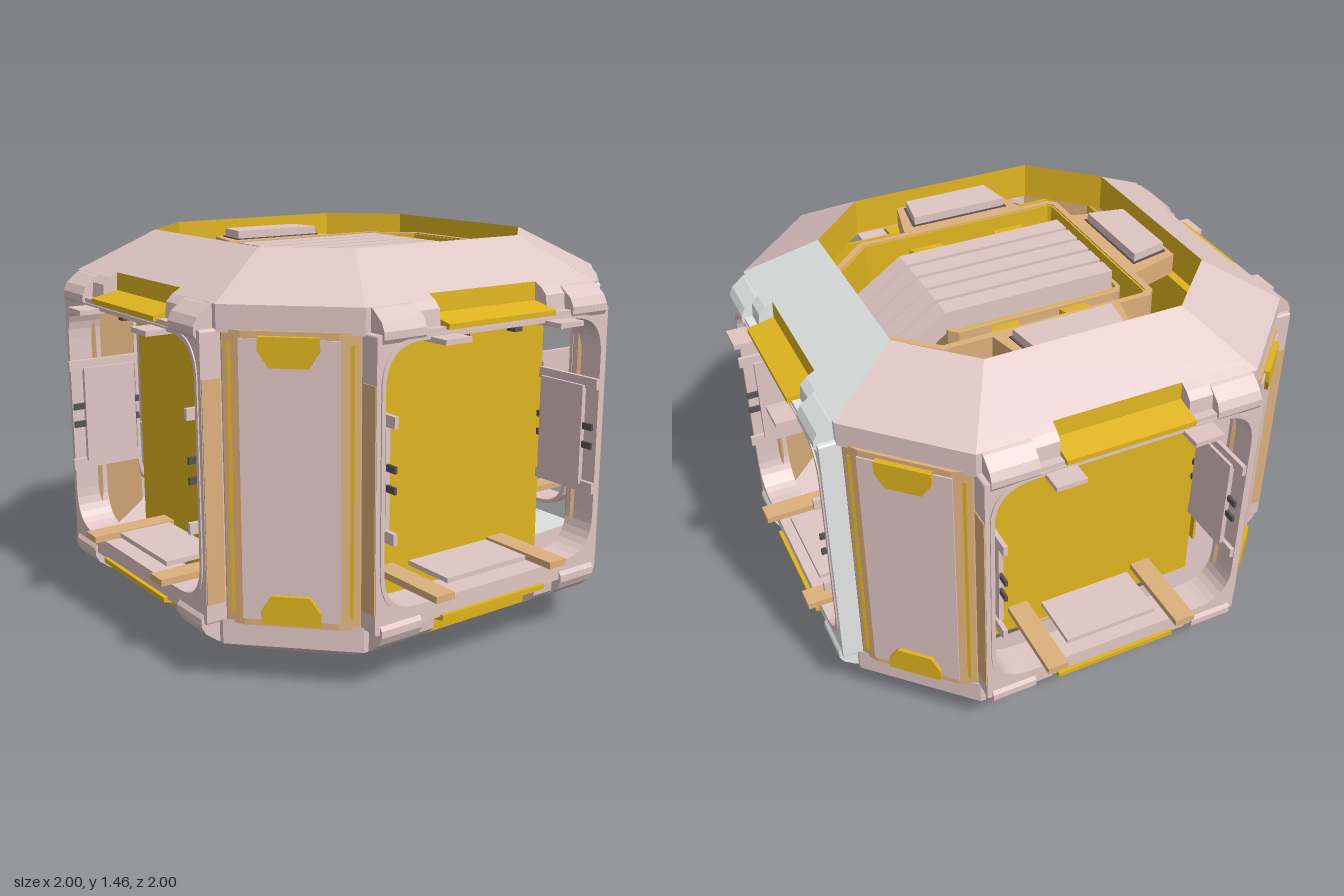
import * as THREE from 'three';

const mat = (name, color) => {
  const m = new THREE.MeshStandardMaterial({ color, side: THREE.DoubleSide });
  m.name = name;
  return m;
};
const H = 1.46;

export function createModel() {
  const pink = mat('dusty pink', 0xdfc6c4);
  const grey = mat('pale grey', 0xe2e6e4);
  const tan = mat('tan', 0xdcb07c);
  const gold = mat('gold', 0xdfb41f);
  const dark = mat('dark grey', 0x5a5355);
  const model = new THREE.Group();
  model.name = 'capsule';

  const add = (parent, name, geo, material) => {
    const mesh = new THREE.Mesh(geo, material);
    mesh.name = name;
    parent.add(mesh);
    return mesh;
  };
  const box = (parent, name, material, x0, x1, y0, y1, z0, z1) =>
    add(parent, name, new THREE.BoxGeometry(x1 - x0, y1 - y0, z1 - z0), material)
      .position.set((x0 + x1) / 2, (y0 + y1) / 2, (z0 + z1) / 2);
  const poly = (pts) => new THREE.Shape(pts.map(([x, y]) => new THREE.Vector2(x, y)));
  const extrude = (shape, depth, z) =>
    new THREE.ExtrudeGeometry(shape, { depth, bevelEnabled: false, curveSegments: 8 }).translate(0, 0, z);
  // horizontal slab from [x, z] points
  const slab = (pts, y0, y1, hole) => {
    const s = poly(pts.map(([x, z]) => [x, -z]));
    if (hole) s.holes.push(poly(hole.map(([x, z]) => [x, -z])));
    return extrude(s, y1 - y0, 0).rotateX(-Math.PI / 2).translate(0, y0, 0);
  };
  // block from a [z, y] side profile, centred on x
  const sideBlock = (pts, width, x) =>
    extrude(poly(pts.map(([z, y]) => [-z, y])), width, -width / 2).rotateY(Math.PI / 2).translate(x, 0, 0);
  // mirrors half an outline (z >= 0) across z = 0
  const mirrorZ = (half) => [...half, ...half.slice().reverse().map(([x, z]) => [x, -z])];
  const roundRect = (w, y0, y1, r) => {
    const s = new THREE.Shape();
    s.moveTo(-w + r, y0);
    s.lineTo(w - r, y0); s.quadraticCurveTo(w, y0, w, y0 + r);
    s.lineTo(w, y1 - r); s.quadraticCurveTo(w, y1, w - r, y1);
    s.lineTo(-w + r, y1); s.quadraticCurveTo(-w, y1, -w, y1 - r);
    s.lineTo(-w, y0 + r); s.quadraticCurveTo(-w, y0, -w + r, y0);
    return s;
  };
  // one sector of the octagonal ring; points are [distance, right x, y, left x]
  const sector = (profile, diagonal) => {
    const pos = [];
    const L = ([c, h, y, l = -h]) => (diagonal ? [h, y, c] : [l, y, c]);
    const R = ([c, h, y]) => (diagonal ? [c, y, h] : [h, y, c]);
    for (let i = 0; i + 1 < profile.length; i++) {
      const p = profile[i], q = profile[i + 1];
      pos.push(...L(p), ...L(q), ...R(q), ...L(p), ...R(q), ...R(p));
    }
    const g = new THREE.BufferGeometry();
    g.setAttribute('position', new THREE.Float32BufferAttribute(pos, 3));
    g.computeVertexNormals();
    return g;
  };

  // upper and lower caps: sloping ring, grip recesses and central hub
  function cap() {
    const g = new THREE.Group();
    const inLow = [0.6, 0.37, 1.32], inTop = [0.6, 0.37, H];
    const outTop = [0.86, 0.52, 1.31], outLow = [0.86, 0.52, 1.22];
    const lip = [0.83, 0.503, 1.327];
    const n = 0.24;
    for (let i = 0; i < 4; i++) {
      const skin = i === 1 ? grey : pink;
      const quarter = new THREE.Group();
      quarter.rotation.y = i * Math.PI / 2;
      g.add(quarter);
      add(quarter, 'ringCorner', sector([inTop, outTop, outLow, inLow], true), pink);
      add(quarter, 'ringSide', sector([inTop, lip], false), skin);
      add(quarter, 'ringUnderside', sector([outLow, inLow], false), skin);
      add(quarter, 'ringEdge', sector([lip, outTop, outLow].map(([c, h, y]) => [c, h, y, n]), false), skin);
      add(quarter, 'ringEdge', sector([lip, outTop, outLow].map(([c, h, y]) => [c, -n, y, -h]), false), skin);
      for (const d of [false, true]) add(quarter, 'ringInnerWall', sector([inLow, inTop], d), gold);
      // recessed gold grip between cheeks and corner blocks
      add(quarter, 'grip', sideBlock([[0.815, 1.222], [0.815, 1.327], [0.83, 1.327], [0.833, 1.262],
        [0.935, 1.24], [0.935, 1.222]], 2 * n, 0), gold);
      for (const m of [-1, 1]) {
        add(quarter, 'gripCheek', sideBlock([[0.83, 1.23], [0.83, 1.326], [0.86, 1.31], [0.885, 1.285], [0.89, 1.23]],
          0.09, m * 0.285), skin);
        add(quarter, 'cornerBlock', sideBlock([[0.84, 1.2], [0.84, 1.318], [0.87, 1.305], [0.915, 1.27],
          [0.93, 1.24], [0.93, 1.215], [0.92, 1.2]], 0.17, m * 0.415), skin);
      }
    }
    // hub tray: rim with gold inner walls, floor and centre base
    const tray = mirrorZ([[-0.4, 0.37], [-0.37, 0.4], [0.43, 0.4], [0.6, 0.24]]);
    const trayIn = mirrorZ([[-0.375, 0.36], [-0.36, 0.375], [0.42, 0.375], [0.575, 0.23]]);
    const trayLine = mirrorZ([[-0.368, 0.357], [-0.357, 0.368], [0.417, 0.368], [0.568, 0.227]]);
    const base = mirrorZ([[-0.35, 0.23], [-0.32, 0.26], [0.31, 0.26], [0.34, 0.23]]);
    const baseIn = mirrorZ([[-0.335, 0.22], [-0.315, 0.245], [0.3, 0.245], [0.325, 0.22]]);
    add(g, 'hubRim', slab(tray, 1.21, 1.39, trayIn), tan);
    add(g, 'hubLiner', slab(trayIn, 1.21, 1.385, trayLine), gold);
    add(g, 'hubFloor', slab(trayIn, 1.2, 1.215), tan);
    add(g, 'hubBase', slab(base, 1.21, 1.34, baseIn), tan);
    add(g, 'hubBaseDeck', slab(baseIn, 1.21, 1.325), gold);
    for (const s of [1, -1]) {
      add(g, 'arm', slab([[-0.25, s * 0.39], [-0.2, s * 0.6], [0.2, s * 0.6], [0.25, s * 0.39]], 1.31, 1.39), tan);
      add(g, 'armBorder', slab([[-0.2, s * 0.428], [-0.177, s * 0.582], [0.177, s * 0.582], [0.2, s * 0.428]], 1.39, 1.394), dark);
      add(g, 'armPad', slab([[-0.19, s * 0.435], [-0.169, s * 0.575], [0.169, s * 0.575], [0.19, s * 0.435]], 1.39, 1.425), pink);
      for (const m of [1, -1])
        add(g, 'hubRib', slab([[m * 0.25, s * 0.38], [m * 0.12, s * 0.38], [m * 0.08, s * 0.255], [m * 0.18, s * 0.255]], 1.21, 1.33), gold);
    }
    add(g, 'arm', slab(mirrorZ([[-0.6, 0.19], [-0.39, 0.25]]), 1.31, 1.39), tan);
    add(g, 'armBorder', slab(mirrorZ([[-0.583, 0.157], [-0.428, 0.189]]), 1.39, 1.394), dark);
    add(g, 'armPad', slab(mirrorZ([[-0.576, 0.149], [-0.435, 0.179]]), 1.39, 1.425), pink);
    // slats bending down toward one end
    const side = poly([[-0.32, 1.32], [-0.32, 1.405], [0.34, 1.405], [0.54, 1.27], [0.54, 1.215], [0.49, 1.215], [0.34, 1.32]]);
    for (let i = -2; i <= 2; i++) add(g, 'slat', extrude(side, 0.073, i * 0.09 - 0.0365), pink);
    return g;
  }
  const top = cap();
  top.name = 'topCap';
  const bottom = cap();
  bottom.name = 'bottomCap';
  bottom.scale.y = -1;
  bottom.position.y = H;
  model.add(top, bottom);

  // four doorways
  for (let i = 0; i < 4; i++) {
    const g = new THREE.Group();
    g.name = 'doorway';
    g.rotation.y = i * Math.PI / 2;
    model.add(g);
    const frame = roundRect(0.52, 0.23, 1.23, 0.01);
    frame.holes.push(roundRect(0.495, 0.295, 1.205, 0.15));
    add(g, 'doorFrame', extrude(frame, 0.08, 0.84), i === 1 ? grey : pink);
    const rim = roundRect(0.503, 0.287, 1.213, 0.155);
    rim.holes.push(roundRect(0.488, 0.302, 1.198, 0.145));
    add(g, 'doorRim', extrude(rim, 0.13, 0.795), pink);
    box(g, 'innerPanel', gold, -0.5, 0.5, 0.19, 1.27, 0.615, 0.625);

    for (const m of [-1, 1]) {
      // tan edge strips on the pink frames
      if (i !== 1) box(g, 'edgeStrip', tan, m * 0.521 - 0.003, m * 0.521 + 0.003, 0.3, 1.07, 0.85, 0.918);
      // side plates with clips
      box(g, 'sidePlate', pink, m * 0.45 - 0.009, m * 0.45 + 0.009, 0.57, 0.94, 0.68, 0.89);
      for (const y of [0.56, 0.95]) box(g, 'sideClip', pink, m * 0.46 - 0.008, m * 0.46 + 0.008, y - 0.02, y + 0.02, 0.66, 0.945);
      for (const y of [0.72, 0.79]) box(g, 'sidePin', dark, m * 0.452 - 0.005, m * 0.452 + 0.005, y - 0.012, y + 0.012, 0.66, 0.935);
      // protruding tabs
      box(g, 'topTab', pink, m * 0.255 - 0.055, m * 0.255 + 0.055, 1.188, 1.206, 0.72, 1.0);
      box(g, 'bottomTab', tan, m * 0.265 - 0.04, m * 0.265 + 0.04, 0.31, 0.335, 0.64, 0.975);
      box(g, 'topHook', dark, m * 0.12 - 0.018, m * 0.12 + 0.018, 1.17, 1.19, 0.84, 0.88);
    }
    box(g, 'sillPlate', pink, -0.185, 0.185, 0.328, 0.346, 0.68, 0.89);
    box(g, 'lintelPlate', gold, -0.19, 0.19, 1.19, 1.206, 0.66, 0.88);
  }

  // four diagonal posts
  for (let i = 0; i < 4; i++) {
    const g = new THREE.Group();
    g.name = 'cornerPost';
    g.rotation.y = Math.PI / 4 + i * Math.PI / 2;
    model.add(g);
    add(g, 'postBody', slab([[-0.245, 0.92], [-0.242, 0.95], [-0.225, 0.968], [-0.16, 0.988],
      [0.16, 0.988], [0.225, 0.968], [0.242, 0.95], [0.245, 0.92]], 0.23, 1.23), tan);
    box(g, 'postPanel', pink, -0.165, 0.165, 0.255, 1.205, 0.985, 0.994);
    for (const m of [-1, 1]) box(g, 'postStripe', gold, m * 0.2 - 0.006, m * 0.2 + 0.006, 0.27, 1.19, 0.97, 0.979);
    for (const s of [1, -1]) {
      const y = (v) => 0.73 + s * v;
      add(g, 'postClip', extrude(poly([[-0.1, y(0.485)], [-0.1, y(0.44)], [-0.065, y(0.385)],
        [0.065, y(0.385)], [0.1, y(0.44)], [0.1, y(0.485)]]), 0.02, 0.988), gold);
    }
  }
  return model;
}
